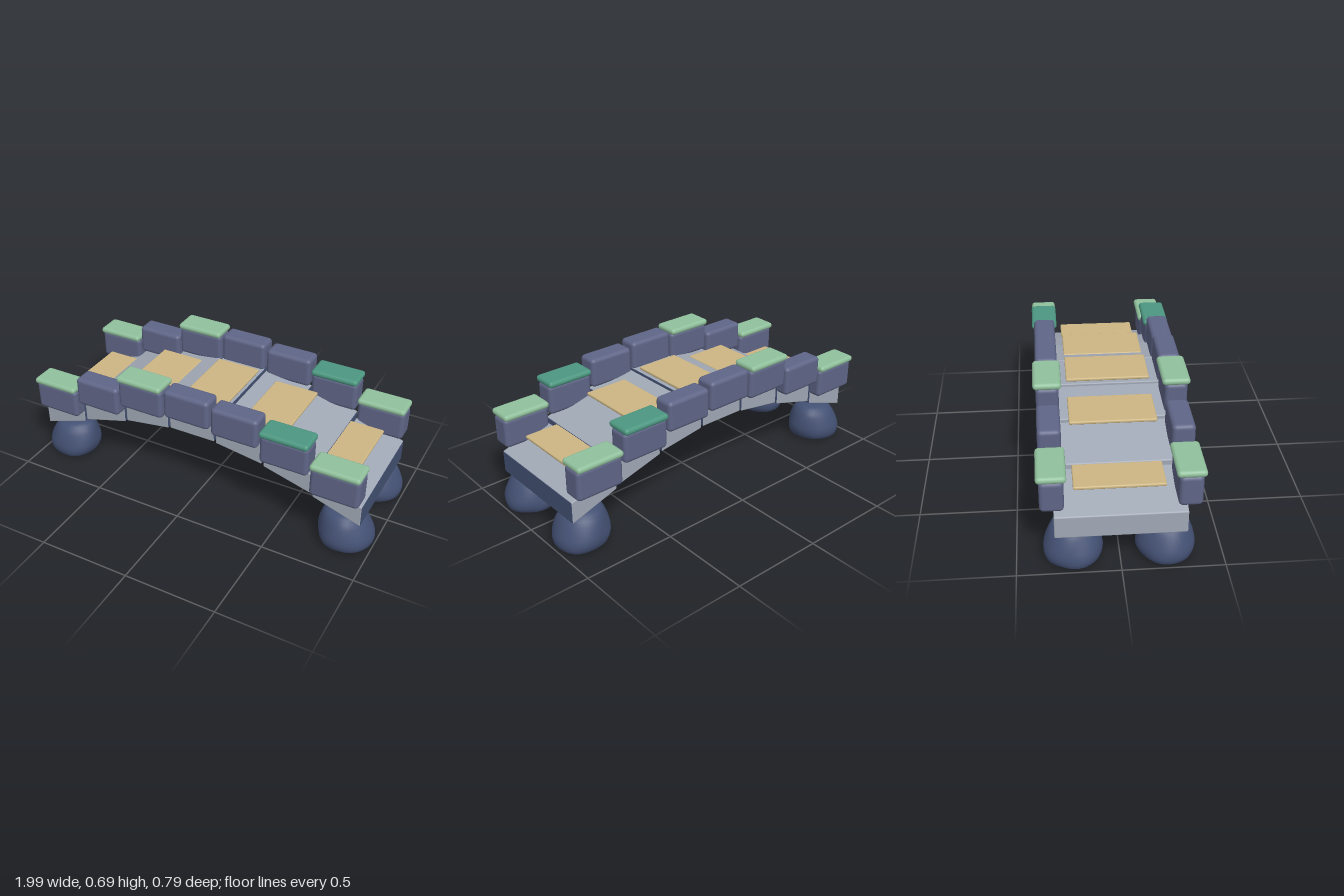
import * as THREE from 'three';
import { RoundedBoxGeometry } from 'three/addons/geometries/RoundedBoxGeometry.js';
import { mergeVertices } from 'three/addons/utils/BufferGeometryUtils.js';

const mat = (color) => new THREE.MeshStandardMaterial({ color });

// one entry per arch stone: deck centre height, deck slope, wall base height
const ARCH = [
  { y: 0.285, slope: 0.34, wall: 0.33 },
  { y: 0.383, slope: 0.28, wall: 0.43 },
  { y: 0.45, slope: 0.15, wall: 0.5 },
  { y: 0.475, slope: 0, wall: 0.52 },
];
const PITCH = 0.274;
const OFFSET = -0.007;

function addBox(parent, name, size, pos, radius, material, segments = 3) {
  const mesh = new THREE.Mesh(new RoundedBoxGeometry(...size, segments, radius), material);
  mesh.name = name;
  mesh.position.set(...pos);
  parent.add(mesh);
  return mesh;
}

// boulder: lathe profile pushed around by smooth waves and leaning inward
function rockGeometry(sx, sz, seed) {
  const profile = [
    [0, 0], [0.5, 0], [0.82, 0], [0.92, 0.012], [0.98, 0.035], [1, 0.06], [0.97, 0.085],
    [0.91, 0.115], [0.83, 0.145], [0.74, 0.17], [0.62, 0.188], [0.45, 0.198], [0.2, 0.2], [0, 0.2],
  ].map(([r, y]) => new THREE.Vector2(r, y));
  let geo = new THREE.LatheGeometry(profile, 40);
  geo.deleteAttribute('uv');
  geo.deleteAttribute('normal');
  geo = mergeVertices(geo, 1e-4);
  const p = geo.attributes.position;
  for (let i = 0; i < p.count; i++) {
    const x = p.getX(i), y = p.getY(i), z = p.getZ(i);
    const a = Math.atan2(z, x);
    const k = 1 + 0.025 * Math.sin(3 * a + seed + y * 14) + 0.015 * Math.sin(5 * a - seed * 2 + y * 30);
    p.setXYZ(i, x * k * 0.147 - sx * y * 0.13, y * (1 - 0.03 * Math.abs(z)), z * k * 0.145 + sz * 0.004);
  }
  geo.computeVertexNormals();
  return geo;
}

export function createModel() {
  const model = new THREE.Group();
  model.name = 'archedBridge';
  const stone = mat(0xa0a8b5);
  const wall = mat(0x5f6587);
  const dark = mat(0x445174);
  const mint = mat(0x90c09c);
  const teal = mat(0x4c9781);
  const wood = mat(0xcdb683);
  const caps = { 0: mint, 2: mint, 5: teal, 6: mint };

  for (let i = 0; i < 7; i++) {
    const a = ARCH[Math.min(i, 6 - i)];
    const x = OFFSET + (i - 3) * PITCH;
    const slope = i <= 3 ? a.slope : -a.slope;

    // deck stone, sheared to follow the arch, with dark underside and end
    const deck = addBox(model, 'deckStone', [0.264, 0.12, 0.63], [x, a.y, 0], 0.006,
      [dark, stone, stone, wall, stone, stone], 2);
    deck.geometry.applyMatrix4(new THREE.Matrix4().set(
      1, 0, 0, 0, slope, 1, 0, 0, 0, 0, 1, 0, 0, 0, 0, 1));

    // parapet blocks and their moss-coloured caps on both sides
    for (const s of [1, -1]) {
      addBox(model, 'parapetBlock', [0.262, 0.164, 0.115], [x, a.wall + 0.082, s * 0.322], 0.022, wall);
      if (caps[i]) {
        const cap = addBox(model, 'parapetCap', [0.264, 0.036, 0.142],
          [x, a.wall + 0.175, s * 0.322], 0.0175, caps[i], 2);
        cap.castShadow = true;
      }
    }
  }

  // flat wooden planks set into the deck
  for (const [x, y] of [[-0.745, 0.393], [-0.367, 0.512], [-0.007, 0.553], [0.348, 0.512], [0.735, 0.393]]) {
    addBox(model, 'deckPlank', [0.25, 0.018, 0.44], [x, y, 0], 0.007, wood, 2);
  }

  // four boulders carrying the ends
  let seed = 1;
  for (const sx of [1, -1]) {
    for (const sz of [1, -1]) {
      const rock = new THREE.Mesh(rockGeometry(sx, sz, seed++ * 1.7), dark);
      rock.name = 'supportBoulder';
      rock.position.set(sx * 0.855, 0, sz * 0.222);
      model.add(rock);
    }
  }
  return model;
}
